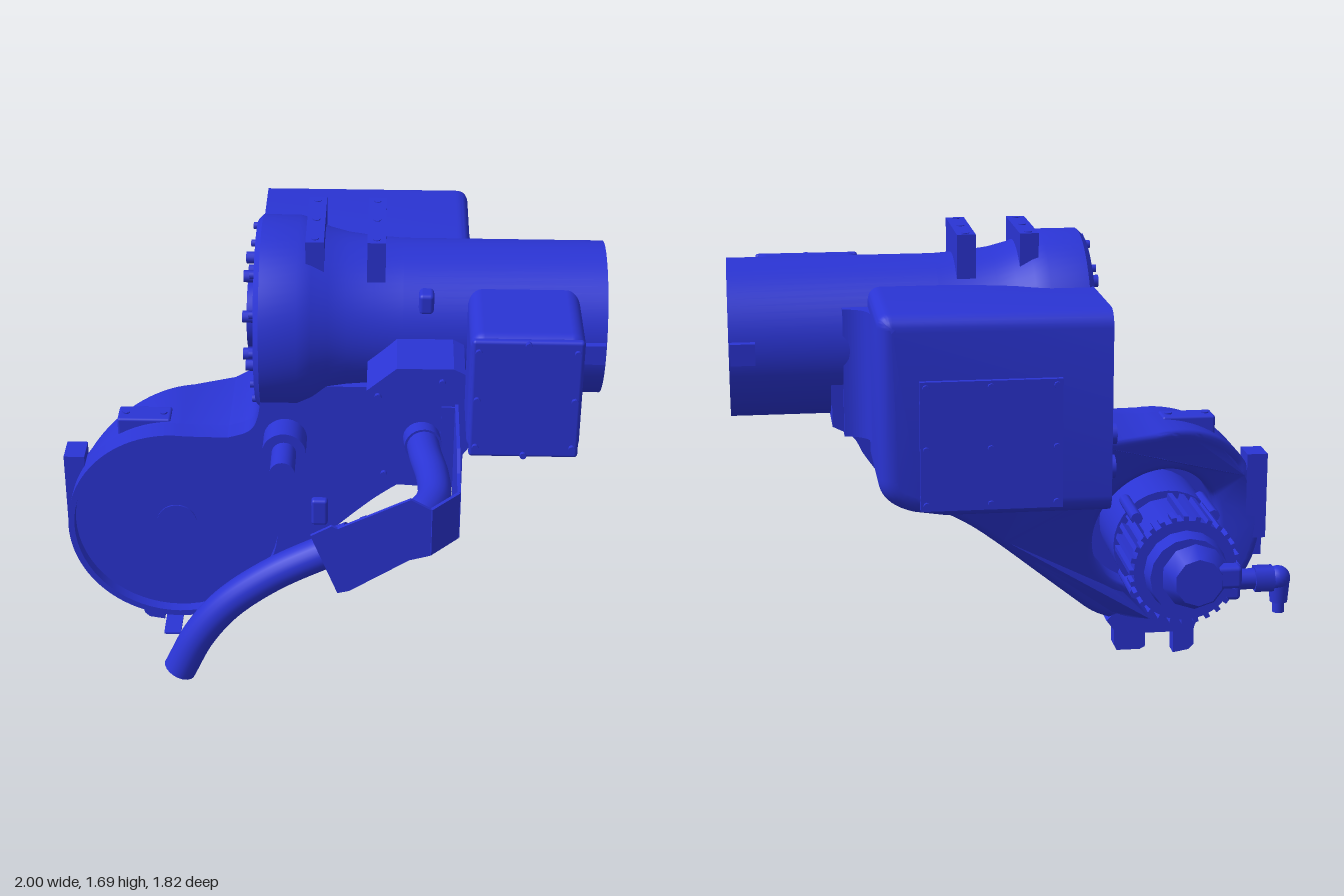
import * as THREE from 'three';
import { toCreasedNormals } from 'three/addons/utils/BufferGeometryUtils.js';
import { RoundedBoxGeometry } from 'three/addons/geometries/RoundedBoxGeometry.js';

const V2 = (x, y) => new THREE.Vector2(x, y);
const V3 = (x, y, z) => new THREE.Vector3(x, y, z);

export function createModel() {
  const model = new THREE.Group();
  const blue = new THREE.MeshStandardMaterial({ color: 0x2a34d4, side: THREE.DoubleSide });

  const add = (name, geo, x = 0, y = 0, z = 0) => {
    const m = new THREE.Mesh(geo, blue);
    m.name = name;
    m.position.set(x, y, z);
    model.add(m);
    return m;
  };
  // Box given by its limits, optionally rounded
  const box = (name, x0, x1, y0, y1, z0, z1, r = 0) => {
    const s = [x1 - x0, y1 - y0, z1 - z0];
    const g = r ? new RoundedBoxGeometry(...s, 4, r) : new THREE.BoxGeometry(...s);
    return add(name, g, (x0 + x1) / 2, (y0 + y1) / 2, (z0 + z1) / 2);
  };
  // Cylinder along z from z0 to z1, radii r0 and r1
  const cylZ = (name, x, y, z0, z1, r0, r1 = r0, n = 32) =>
    add(name, new THREE.CylinderGeometry(r1, r0, z1 - z0, n).rotateX(Math.PI / 2), x, y, (z0 + z1) / 2);
  const cylX = (name, x0, x1, y, z, r, n = 24) =>
    add(name, new THREE.CylinderGeometry(r, r, x1 - x0, n).rotateZ(-Math.PI / 2), (x0 + x1) / 2, y, z);
  const poly = pts => new THREE.Shape(pts.map(p => V2(...p)));
  const slab = (shape, z0, z1) =>
    new THREE.ExtrudeGeometry(shape, { depth: z1 - z0, bevelEnabled: false, curveSegments: 32 }).translate(0, 0, z0);
  const bolts = (pts, z0, z1) => pts.forEach(([x, y]) => cylZ('bolt', x, y, z0, z1, 0.012, 0.012, 8));
  const circleHole = (x, y, r) => new THREE.Path().absarc(x, y, r, 0, Math.PI * 2, true);

  // Hollow main barrel with its wide left flange
  const barrelY = 1.305, barrelZ = -0.19;
  const profile = [[0.08, -0.3], [0.13, -0.3], [0.13, -0.27], [0.34, -0.265], [0.36, -0.245], [0.36, -0.11],
    [0.345, -0.06], [0.318, 0], [0.3, 0.07], [0.288, 0.16], [0.28, 0.27], [0.28, 1], [0.13, 1], [0.13, 0.985],
    [0.08, 0.985], [0.08, -0.3]].map(p => V2(...p));
  add('barrel', toCreasedNormals(new THREE.LatheGeometry(profile, 64).rotateZ(-Math.PI / 2), 0.5), 0, barrelY, barrelZ);
  for (let i = 0; i < 8; i++) {
    const a = (i + 0.5) * Math.PI / 4;
    cylX('flangeBolt', -0.31, -0.25, barrelY + 0.2 * Math.sin(a), barrelZ + 0.2 * Math.cos(a), 0.022, 12);
  }
  for (let i = 0; i < 14; i++) {
    const a = i * Math.PI / 7;
    cylX('rimBolt', -0.28, -0.25, barrelY + 0.325 * Math.sin(a), barrelZ + 0.325 * Math.cos(a), 0.014, 8);
  }
  for (const z of [0.09, -0.48]) box('endStop', 0.91, 0.995, 1.27, 1.345, z - 0.022, z + 0.022);

  // Rear gear housing: rounded at the back, cut flat on the left face
  const housing = poly([[-0.4, 0.815], [0.3, 0.815], [0.4, 0.83]]);
  housing.quadraticCurveTo(0.52, 0.86, 0.52, 0.95);
  housing.lineTo(0.52, 1.46);
  housing.quadraticCurveTo(0.52, 1.51, 0.47, 1.51);
  housing.lineTo(-0.4, 1.51);
  const housingGeo = new THREE.ExtrudeGeometry(housing, {
    depth: 0.46, bevelThickness: 0.06, bevelSize: 0.06, bevelOffset: -0.06, bevelSegments: 5 }).translate(0, 0, -0.82);
  const hp = housingGeo.attributes.position;
  for (let i = 0; i < hp.count; i++) hp.setX(i, Math.max(-0.26, hp.getX(i)));
  add('rearHousing', toCreasedNormals(housingGeo, 0.6));
  box('rearCover', -0.09, 0.385, 0.85, 1.29, -0.9, -0.87);
  const rearBolts = [];
  for (const x of [-0.07, 0.15, 0.365]) for (const y of [0.87, 1.06, 1.27]) rearBolts.push([x, y]);
  bolts(rearBolts, -0.912, -0.89);

  // Concave fillet between housing and barrel
  const fillet = poly([[0.48, 0.3], [0.48, 0.56], [0.52, 0.56]]);
  fillet.quadraticCurveTo(0.525, 0.475, 0.61, 0.465);
  fillet.lineTo(0.61, 0.3);
  add('housingFillet', toCreasedNormals(slab(fillet, 1.0, 1.45).rotateX(-Math.PI / 2), 0.5));

  // Front gear housing
  box('frontHousing', 0.5, 0.9, 1.03, 1.51, -0.1, 0.365, 0.05);
  add('frontLid', new RoundedBoxGeometry(0.385, 0.465, 0.03, 3, 0.012), 0.7, 1.27, 0.36);
  bolts([[0.53, 1.08], [0.53, 1.27], [0.53, 1.46], [0.7, 1.49], [0.7, 1.05], [0.87, 1.08], [0.87, 1.27], [0.87, 1.46]], 0.365, 0.388);

  // Sockets on the left face of the rear housing
  for (const [y, z, r] of [[1.1, -0.7, 0.045], [0.98, -0.68, 0.035], [1.07, -0.8, 0.035], [0.95, -0.78, 0.04]])
    cylX('socket', -0.285, -0.25, y, z, r);

  // Mounting rails on top
  for (const x of [-0.048, 0.172]) {
    box('topRail', x - 0.033, x + 0.033, 1.53, 1.685, -0.38, 0);
    for (const z of [-0.35, -0.19, -0.03])
      add('railBolt', new THREE.CylinderGeometry(0.014, 0.014, 0.01, 8), x, 1.683, z);
  }
  box('liftLug', 0.325, 0.38, 1.43, 1.51, -0.03, 0.06, 0.015);

  // Arm outline: rounded wrist end, sloping underside, top under the barrel
  const wx = -0.575, wy = 0.52;
  const armShape = () => {
    const s = new THREE.Shape();
    s.absarc(wx, wy, 0.41, 1.45, 5.46, false);
    s.lineTo(-0.1, 0.41);
    s.splineThru([[0.08, 0.585], [0.2, 0.69], [0.32, 0.77], [0.5, 0.865]].map(p => V2(...p)));
    s.lineTo(0.5, 1.15);
    s.lineTo(-0.24, 1.15);
    s.splineThru([[-0.255, 1.02], [-0.29, 0.955], [-0.37, 0.925]].map(p => V2(...p)));
    return s;
  };
  const front = armShape();
  front.holes.push(circleHole(wx, wy, 0.387));
  add('armFront', toCreasedNormals(slab(front, 0, 0.09), 0.6));

  // Back of the arm deepens towards the barrel and has a motor recess
  const back = armShape();
  back.holes.push(circleHole(wx + 0.02, wy, 0.25));
  const armGeo = new THREE.ExtrudeGeometry(back, {
    depth: 0.1, bevelThickness: 0.03, bevelSize: 0.03, bevelOffset: -0.03, bevelSegments: 4, curveSegments: 40 });
  const p = armGeo.attributes.position;
  for (let i = 0; i < p.count; i++) {
    const x = p.getX(i), y = p.getY(i), z = p.getZ(i);
    const depth = THREE.MathUtils.clamp(0.22 + 0.43 * x + 0.35 * y, 0.1, 0.74);
    p.setZ(i, z < 0.05 ? 0.03 + z - depth : z - 0.1);
  }
  add('armBack', toCreasedNormals(armGeo, 0.6));

  // Shoulder joining the arm to the underside of the barrel
  const shoulder = poly([[0.4, 0.86], [0.5, 0.865]]);
  shoulder.splineThru([[0.545, 0.93], [0.58, 0.99], [0.65, 1.03]].map(q => V2(...q)));
  shoulder.lineTo(0.65, 1.2);
  shoulder.lineTo(0.4, 1.2);
  add('shoulder', toCreasedNormals(slab(shoulder, -0.44, 0.085), 0.6));

  // Recessed wrist disc
  cylZ('wristDisc', wx, wy, 0, 0.045, 0.388, 0.388, 64);
  cylZ('wristHub', wx, wy, 0.04, 0.05, 0.075);

  // Small fittings on the arm
  box('sidePad', -0.06, 0.002, 0.56, 0.67, 0.08, 0.118, 0.012);
  cylZ('bossBase', -0.155, 0.93, 0, 0.2, 0.08);
  cylZ('bossPin', -0.155, 0.93, 0.19, 0.34, 0.045);
  box('endBlock', -0.998, -0.92, 0.45, 0.78, -0.1, 0.01);
  box('endTab', -0.985, -0.94, 0.38, 0.46, -0.09, -0.03);
  box('topPad', -0.79, -0.59, 0.85, 0.938, -0.11, -0.01, 0.01);
  for (const x of [-0.76, -0.62])
    add('padBolt', new THREE.CylinderGeometry(0.014, 0.014, 0.01, 8), x, 0.938, -0.06);
  const foot = poly([[-0.76, 0.17], [-0.73, 0.1], [-0.73, 0.03], [-0.71, 0.01], [-0.65, 0], [-0.65, 0.085],
    [-0.54, 0.085], [-0.54, 0.03], [-0.52, 0.02], [-0.43, 0.02], [-0.42, 0.04], [-0.42, 0.1], [-0.39, 0.14], [-0.45, 0.2]]);
  add('foot', slab(foot, -0.1, -0.035));
  box('footPlate', -0.63, -0.565, 0.078, 0.085, -0.06, 0.17);

  // Motor behind the wrist
  const my = 0.51;
  cylZ('motorBase', wx, my, -0.3, 0, 0.2);
  cylZ('motorBody', wx, my, -0.56, -0.28, 0.175, 0.175, 16);
  for (let i = 0; i < 28; i++) {
    const a = i * Math.PI / 14;
    const long = i % 7 < 4;
    const fin = add('motorFin', new THREE.BoxGeometry(0.05, 0.018, long ? 0.29 : 0.07),
      wx + 0.175 * Math.cos(a), my + 0.175 * Math.sin(a), long ? -0.475 : -0.585);
    fin.rotation.z = a;
  }
  cylZ('motorRing', wx, my, -0.62, -0.55, 0.185);
  cylZ('motorNeck', wx, my, -0.69, -0.61, 0.14, 0.15, 16);
  cylZ('motorCap', wx - 0.02, my, -0.76, -0.68, 0.085, 0.125, 10);
  box('capSpout', -0.75, -0.64, 0.48, 0.56, -0.755, -0.69, 0.015);
  for (const a of [0.25, 0.75, 1.25, 1.75])
    cylZ('motorBolt', wx + 0.2 * Math.cos(a * Math.PI), my + 0.2 * Math.sin(a * Math.PI), -0.44, -0.2, 0.022, 0.022, 8);

  // Motor cable elbow
  box('motorSocket', -0.8, -0.72, 0.36, 0.48, -0.54, -0.42, 0.015);
  cylX('connector', -0.88, -0.78, 0.42, -0.48, 0.038);
  cylX('connectorNut', -0.93, -0.86, 0.42, -0.48, 0.05, 6);
  add('elbow', new THREE.SphereGeometry(0.045, 20, 14), -0.95, 0.42, -0.48);
  add('connectorTail', new THREE.CylinderGeometry(0.038, 0.032, 0.08, 20), -0.955, 0.37, -0.48);
  add('connectorTip', new THREE.CylinderGeometry(0.022, 0.022, 0.08, 16), -0.955, 0.33, -0.48);

  // Junction box in front of the barrel
  const junction = poly([[0.145, 0.95], [0.2, 0.875], [0.45, 0.86], [0.49, 0.88], [0.49, 1.33], [0.45, 1.35], [0.25, 1.35], [0.145, 1.26]]);
  add('junctionBox', slab(junction, -0.05, 0.305));
  bolts([[0.185, 1.24], [0.41, 1.3], [0.41, 0.91], [0.21, 0.92]], 0.3, 0.32);

  // Bent sheet bracket that carries the hose
  const side = poly([[-0.3, 0.86], [-0.36, 0.86], [-0.6, 0.98], [-0.8, 0.98], [-0.8, 1.16], [-0.68, 1.16], [-0.6, 1.21], [-0.3, 1.21]]);
  add('bracketSide', slab(side, 0.457, 0.469).rotateY(Math.PI / 2));
  box('bracketTab', 0.41, 0.469, 0.88, 1.2, 0.3, 0.312);
  add('bracketBend', new THREE.BoxGeometry(0.14, 0.18, 0.012), 0.415, 1.07, 0.853).rotation.y = 0.84;
  const plate = poly([[0.37, 0.98], [0.37, 1.16], [0.3, 1.2], [0.06, 1.08], [0.04, 1.09], [-0.03, 1.05], [0.06, 0.82], [0.1, 0.83], [0.3, 0.96]]);
  add('bracketPlate', slab(plate, 0.9, 0.912));

  // Hose with its gland and clamp rings
  const hose = new THREE.CatmullRomCurve3([V3(0.34, 1.07, 0.28), V3(0.355, 1.07, 0.42), V3(0.38, 1.07, 0.57), V3(0.38, 1.07, 0.7),
    V3(0.33, 1.06, 0.79), V3(0.24, 1.03, 0.825), V3(0.1, 0.97, 0.83), V3(-0.02, 0.915, 0.83), V3(-0.17, 0.83, 0.83),
    V3(-0.32, 0.71, 0.83), V3(-0.42, 0.58, 0.83), V3(-0.495, 0.425, 0.83)]);
  add('hose', new THREE.TubeGeometry(hose, 90, 0.058, 20));
  const end = add('hoseEnd', new THREE.CircleGeometry(0.058, 20));
  end.position.copy(hose.getPointAt(1));
  end.lookAt(end.position.clone().add(hose.getTangentAt(1)));
  for (const [t, len, r] of [[0.03, 0.06, 0.066], [0.4, 0.05, 0.068], [0.44, 0.02, 0.07], [0.51, 0.1, 0.072]]) {
    const ring = add('hoseClamp', new THREE.CylinderGeometry(r, r, len, 24));
    ring.position.copy(hose.getPointAt(t));
    ring.quaternion.setFromUnitVectors(V3(0, 1, 0), hose.getTangentAt(t));
  }
  return model;
}
